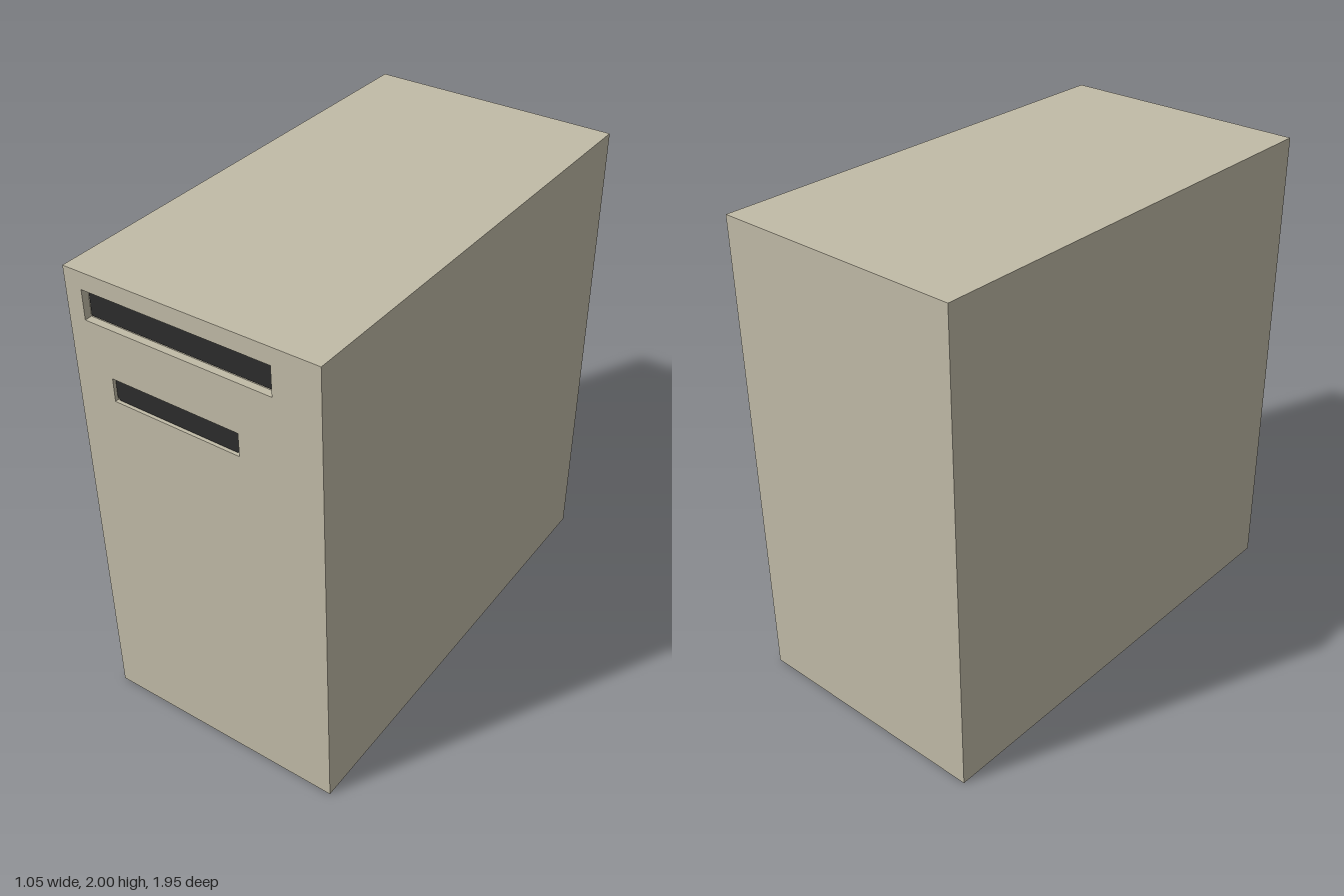
import * as THREE from 'three';

const W = 1.055, H = 2, D = 1.946;

// Slots in the front panel: extents, recess depth, gap around and corner cut of the dark plate
const SLOTS = [
  { name: 'upperSlot', x0: -0.455, x1: 0.335, y0: 1.81, y1: 1.93, depth: 0.03, gap: 0.007, cut: 0 },
  { name: 'lowerSlot', x0: -0.362, x1: 0.186, y0: 1.508, y1: 1.604, depth: 0.015, gap: 0.003, cut: 0.012 },
];

// Rectangle outline, optionally with its corners cut off
function outline(x0, x1, y0, y1, cut = 0) {
  const c = cut;
  const pts = c
    ? [[x0 + c, y0], [x1 - c, y0], [x1, y0 + c], [x1, y1 - c], [x1 - c, y1], [x0 + c, y1], [x0, y1 - c], [x0, y0 + c]]
    : [[x0, y0], [x1, y0], [x1, y1], [x0, y1]];
  return pts.map(([x, y]) => new THREE.Vector2(x, y));
}

export function createModel() {
  const casing = new THREE.MeshStandardMaterial({ color: 0xc1bba7, side: THREE.DoubleSide });
  casing.name = 'beige casing';
  const dark = new THREE.MeshStandardMaterial({ color: 0x2c2c2c, side: THREE.DoubleSide });
  dark.name = 'dark slot';

  const model = new THREE.Group();
  model.name = 'computerCase';

  function add(parent, name, geometry, material, position, rotation = [0, 0, 0]) {
    const mesh = new THREE.Mesh(geometry, material);
    mesh.name = name;
    mesh.position.set(...position);
    mesh.rotation.set(...rotation);
    parent.add(mesh);
  }

  // Thin sheet casing, open underneath
  const q = Math.PI / 2;
  add(model, 'leftPanel', new THREE.PlaneGeometry(D, H), casing, [W / 2, H / 2, 0], [0, q, 0]);
  add(model, 'rightPanel', new THREE.PlaneGeometry(D, H), casing, [-W / 2, H / 2, 0], [0, -q, 0]);
  add(model, 'backPanel', new THREE.PlaneGeometry(W, H), casing, [0, H / 2, -D / 2], [0, Math.PI, 0]);
  add(model, 'topPanel', new THREE.PlaneGeometry(W, D), casing, [0, H, 0], [-q, 0, 0]);

  // Front panel with the slot openings
  const front = new THREE.Shape(outline(-W / 2, W / 2, 0, H));
  for (const s of SLOTS) front.holes.push(new THREE.Path(outline(s.x0, s.x1, s.y0, s.y1).reverse()));
  add(model, 'frontPanel', new THREE.ShapeGeometry(front), casing, [0, 0, D / 2]);

  // Shallow recess with a dark plate behind each opening
  for (const { name, x0, x1, y0, y1, depth, gap, cut } of SLOTS) {
    const slot = new THREE.Group();
    slot.name = name;
    slot.position.z = D / 2 - depth;
    const w = x1 - x0, h = y1 - y0, cx = (x0 + x1) / 2, cy = (y0 + y1) / 2, mid = depth / 2;
    add(slot, 'recessFloor', new THREE.PlaneGeometry(w, depth), casing, [cx, y0, mid], [-q, 0, 0]);
    add(slot, 'recessCeiling', new THREE.PlaneGeometry(w, depth), casing, [cx, y1, mid], [q, 0, 0]);
    add(slot, 'recessRightWall', new THREE.PlaneGeometry(depth, h), casing, [x0, cy, mid], [0, q, 0]);
    add(slot, 'recessLeftWall', new THREE.PlaneGeometry(depth, h), casing, [x1, cy, mid], [0, -q, 0]);
    add(slot, 'recessBack', new THREE.PlaneGeometry(w, h), casing, [cx, cy, 0]);
    const plate = new THREE.Shape(outline(x0 + gap, x1 - gap, y0 + gap, y1 - gap, cut));
    add(slot, 'darkPlate', new THREE.ShapeGeometry(plate), dark, [0, 0, 0.004]);
    model.add(slot);
  }
  return model;
}
